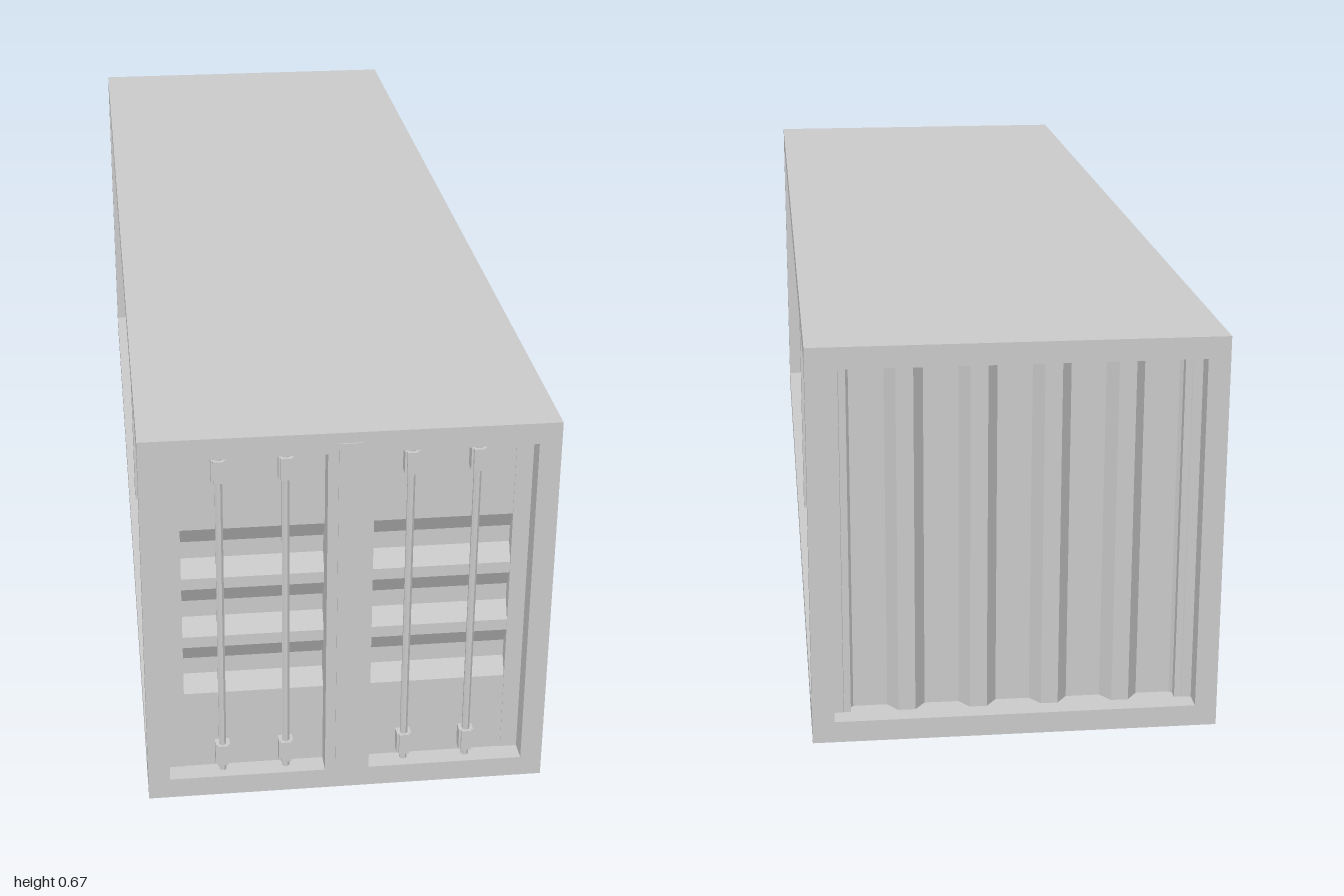
import * as THREE from 'three';

const W = 0.333, H = 0.668, L = 1, T = 0.036;   // half width, height, half length, beam size
const V = (x, y, z) => new THREE.Vector3(x, y, z);

export function createModel() {
  const root = new THREE.Group();
  const mat = new THREE.MeshStandardMaterial({ color: 0xcccccc, flatShading: true });

  const add = (name, geometry) => {
    const mesh = new THREE.Mesh(geometry, mat);
    mesh.name = name;
    root.add(mesh);
    return mesh;
  };
  const box = (name, w, h, d, x, y, z) =>
    add(name, new THREE.BoxGeometry(w, h, d)).position.set(x, y, z);

  // Solid sheet: profile of [along, outward] points, swept along the third axis
  const sheet = (name, points, back, length, along, outward, origin) => {
    const outline = [...points, [points.at(-1)[0], back], [points[0][0], back]];
    const shape = new THREE.Shape(outline.map(([s, d]) => new THREE.Vector2(s, d)));
    const geo = new THREE.ExtrudeGeometry(shape, { depth: length, bevelEnabled: false });
    const sweep = along.clone().cross(outward);
    geo.applyMatrix4(new THREE.Matrix4().makeBasis(along, outward, sweep).setPosition(origin));
    return add(name, geo);
  };

  // Frame: floor, roof, corner posts and front centre post
  const inner = H - 2 * T, mid = H / 2;
  box('floor', 2 * W, T, 2 * L - 0.004, 0, T / 2, 0);
  box('roof', 2 * W, T, 2 * L - 0.004, 0, H - T / 2, 0);
  for (const sx of [-1, 1])
    for (const sz of [-1, 1])
      box('cornerPost', T, inner, T, sx * (W - T / 2), mid, sz * (L - 0.002 - T / 2));
  box('centrePost', 0.074, inner, 0.08, 0, mid, L - 0.042);
  box('doorSeal', 0.038, 0.613, 0.01, -0.001, 0.3435, L - 0.005);

  // Side walls with shallow ribs, each the other turned half round
  const base = W - 0.044, crest = W - 0.03, period = 0.143;
  const wall = [[-L + T, crest]];
  for (let i = 0; i < 13; i++) {
    const z = -0.885 + i * period;
    if (i > 0) wall.push([z - 0.085, crest], [z - 0.05, base]);
    wall.push([z, base], [z + 0.015, crest]);
  }
  wall.push([L - T, crest]);
  const rib = [[-0.038, base], [-0.022, W - 0.012], [0.022, W - 0.012], [0.038, base]];
  for (const s of [-1, 1]) {
    const args = [inner, V(0, 0, s), V(s, 0, 0), V(0, T, 0)];
    sheet('sideWall', wall, base - 0.02, ...args);
    sheet('sideCentreRib', rib, base - 0.01, ...args);
  }

  // Back wall with upright corrugations
  const rear = [[-W + T, L - 0.035]];
  for (let i = -2; i <= 2; i++) {
    const x = i * 0.118;
    rear.push([x - 0.045, L - 0.035], [x - 0.028, L - 0.057],
      [x + 0.028, L - 0.057], [x + 0.045, L - 0.035]);
  }
  rear.push([W - T, L - 0.035]);
  sheet('backWall', rear, L - 0.08, inner, V(1, 0, 0), V(0, 0, -1), V(0, T, 0));

  // Doors with three level grooves
  const face = L - 0.037, door = [[T, face]];
  for (const y of [0.18, 0.29, 0.4])
    door.push([y, face], [y + 0.03, face - 0.016], [y + 0.06, face - 0.016], [y + 0.09, face]);
  door.push([H - T, face]);
  for (const x of [-W + T, 0.037])
    sheet('door', door, face - 0.04, W - T - 0.037, V(0, 1, 0), V(0, 0, 1), V(x, 0, 0));

  // Locking rods with a bracket at each end
  for (const x of [-0.207, -0.101, 0.099, 0.205]) {
    const rod = add('lockingRod', new THREE.CylinderGeometry(0.0065, 0.0065, inner, 8));
    rod.position.set(x, mid, L - 0.025);
    rod.rotation.y = Math.PI / 8;
    for (const y of [0.068, 0.602]) {
      box('rodBracket', 0.017, 0.038, 0.03, x, y, L - 0.029);
      box('rodBracketPlate', 0.024, 0.038, 0.02, x, y, L - 0.029);
    }
  }
  return root;
}
